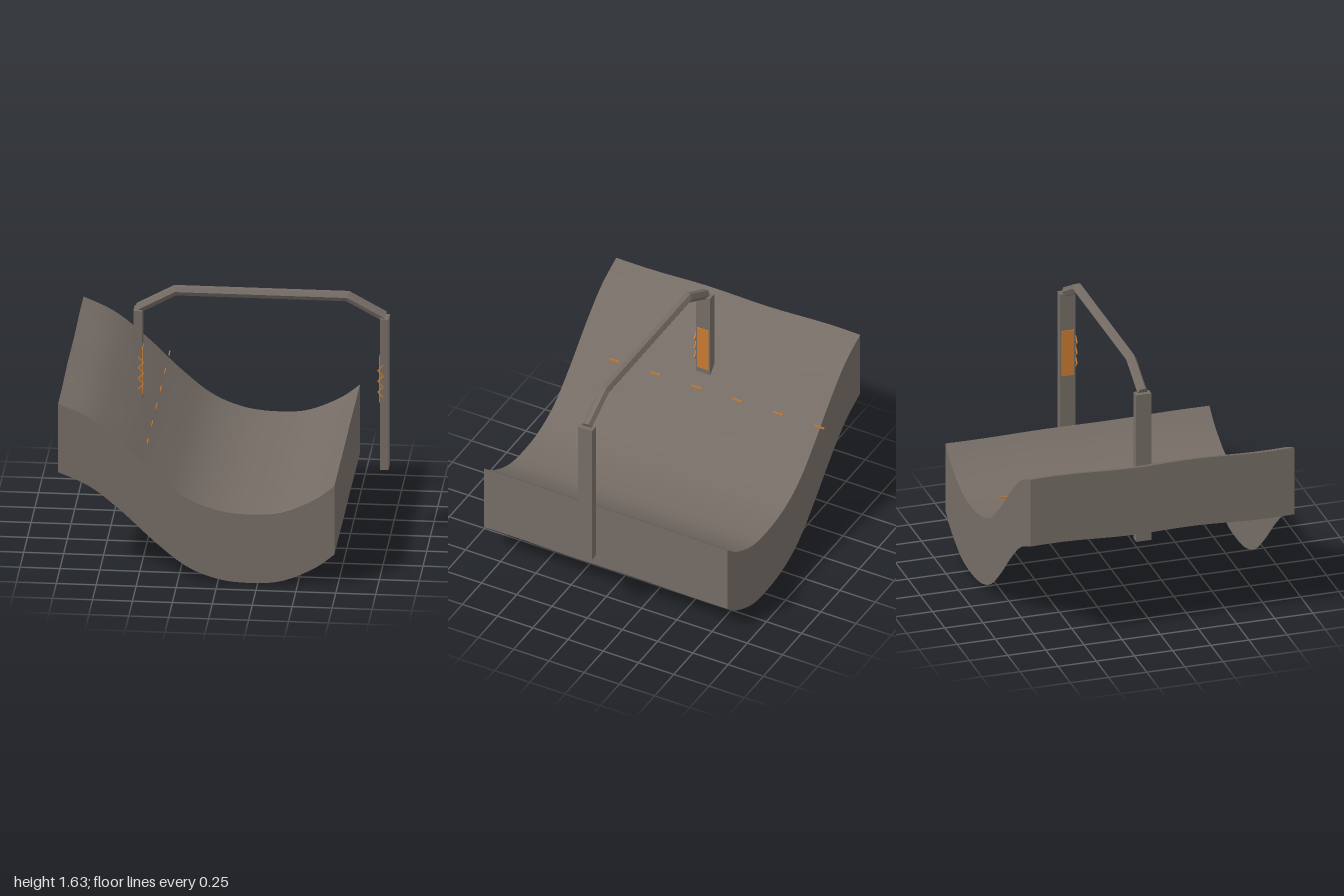
import * as THREE from 'three';

const stone = new THREE.MeshStandardMaterial({ color: 0x756c65, side: THREE.DoubleSide });
stone.name = 'warm grey';
const orange = new THREE.MeshStandardMaterial({ color: 0xc87a32, side: THREE.DoubleSide });
orange.name = 'orange';

const THICK = 0.46, X0 = -1, X1 = 0.73, Z0 = -0.85, Z1 = 0.88, MID_Z = 0.02;

// underside profile of the wavy slab
const wave = new THREE.SplineCurve([
  [-1, 0.70], [-0.8, 0.61], [-0.6, 0.45], [-0.4, 0.26], [-0.2, 0.1],
  [0, 0.02], [0.2, 0], [0.4, 0.02], [0.6, 0.11], [0.73, 0.21],
].map(([x, y]) => new THREE.Vector2(x, y)));

// slab point: u along the wave, z across, h from bottom (0) to top (1)
function slabPoint(u, z, h) {
  const p = wave.getPoint(u);
  const t = (Z1 - z) / (Z1 - Z0);
  const lift = (0.028 * t - 0.006 * Math.sin(4 * Math.PI * t)) * (0.22 - 0.78 * p.x);
  return [p.x, p.y + lift + h * THICK, z];
}

// surface patch from a rule over (u, v)
function patch(name, nu, nv, rule) {
  const g = new THREE.PlaneGeometry(1, 1, nu, nv);
  const pos = g.attributes.position;
  for (let i = 0; i < pos.count; i++) {
    pos.setXYZ(i, ...rule(pos.getX(i) + 0.5, pos.getY(i) + 0.5));
  }
  g.computeVertexNormals();
  const m = new THREE.Mesh(g, stone);
  m.name = name;
  return m;
}

function box(name, mat, size, at) {
  const m = new THREE.Mesh(new THREE.BoxGeometry(...size), mat);
  m.name = name;
  m.position.set(...at);
  return m;
}

// hexagonal bar with mitred joints along a path in the xy plane
function hexBar(path, r) {
  const dirs = path.slice(1).map((p, i) => p.clone().sub(path[i]).normalize());
  const rings = path.map((p, i) => {
    const a = dirs[Math.max(i - 1, 0)], b = dirs[Math.min(i, dirs.length - 1)];
    const n = new THREE.Vector2(-a.y - b.y, a.x + b.x).normalize();
    const miter = 1 / n.dot(new THREE.Vector2(-a.y, a.x));
    return Array.from({ length: 6 }, (_, k) => {
      const t = (k * Math.PI) / 3, h = r * Math.sin(t) * miter;
      return [p.x + n.x * h, p.y + n.y * h, MID_Z + r * Math.cos(t)];
    });
  });
  const v = [];
  const tri = (...pts) => pts.forEach((p) => v.push(...p));
  for (let i = 0; i < rings.length - 1; i++) {
    for (let k = 0; k < 6; k++) {
      const j = (k + 1) % 6, A = rings[i], B = rings[i + 1];
      tri(A[k], B[k], B[j]);
      tri(A[k], B[j], A[j]);
    }
  }
  const first = rings[0], last = rings[rings.length - 1];
  for (let k = 1; k < 5; k++) {
    tri(first[0], first[k], first[k + 1]);
    tri(last[0], last[k + 1], last[k]);
  }
  const g = new THREE.BufferGeometry();
  g.setAttribute('position', new THREE.Float32BufferAttribute(v, 3));
  g.computeVertexNormals();
  const m = new THREE.Mesh(g, stone);
  m.name = 'archBeam';
  return m;
}

export function createModel() {
  const model = new THREE.Group();
  model.name = 'archOverWave';

  // wavy slab, open underneath
  const slab = new THREE.Group();
  slab.name = 'wavySlab';
  const zAt = (t) => Z0 + (Z1 - Z0) * t;
  slab.add(
    patch('slabTop', 48, 16, (u, v) => slabPoint(u, zAt(1 - v), 1)),
    patch('slabFront', 48, 1, (u, v) => slabPoint(u, Z1, v)),
    patch('slabBack', 48, 1, (u, v) => slabPoint(1 - u, Z0, v)),
    patch('slabLeftEnd', 16, 1, (u, v) => slabPoint(1, zAt(1 - u), v)),
    patch('slabRightEnd', 16, 1, (u, v) => slabPoint(0, zAt(u), v)),
  );
  model.add(slab);

  // row of small dashes across the slope
  for (let i = 0; i < 6; i++) {
    model.add(box('dash', orange, [0.006, 0.011, 0.072], [-0.463, 0.816 + i * 0.002, 0.6 - i * 0.29]));
  }

  // posts with an inner panel and a zigzag strip; s points to the inside
  for (const [side, x, s] of [['right', -0.577, 1], ['left', 0.967, -1]]) {
    const post = new THREE.Group();
    post.name = side + 'Post';
    post.add(box('postShaft', stone, [0.054, 1.01, 0.1], [x, 0.968, MID_Z]));
    post.add(box('innerPanel', orange, [0.006, 0.31, 0.08], [x + s * 0.029, 1.065, MID_Z]));
    for (let k = 0; k < 6; k++) {
      const a = new THREE.Vector2(x + s * (k % 2 ? 0.038 : 0.006), 1.168 - k * 0.036);
      const b = new THREE.Vector2(x + s * (k % 2 ? 0.006 : 0.038), 1.168 - (k + 1) * 0.036);
      const d = b.clone().sub(a);
      const bar = box('zigzag', orange, [d.length(), 0.006, 0.008], [(a.x + b.x) / 2, (a.y + b.y) / 2, 0.076]);
      bar.rotation.z = d.angle();
      post.add(bar);
    }
    model.add(post);
  }

  // arch beam joining the posts
  model.add(hexBar([[-0.575, 1.477], [-0.345, 1.603], [0.735, 1.603], [0.965, 1.477]]
    .map(([x, y]) => new THREE.Vector2(x, y)), 0.033));
  return model;
}
